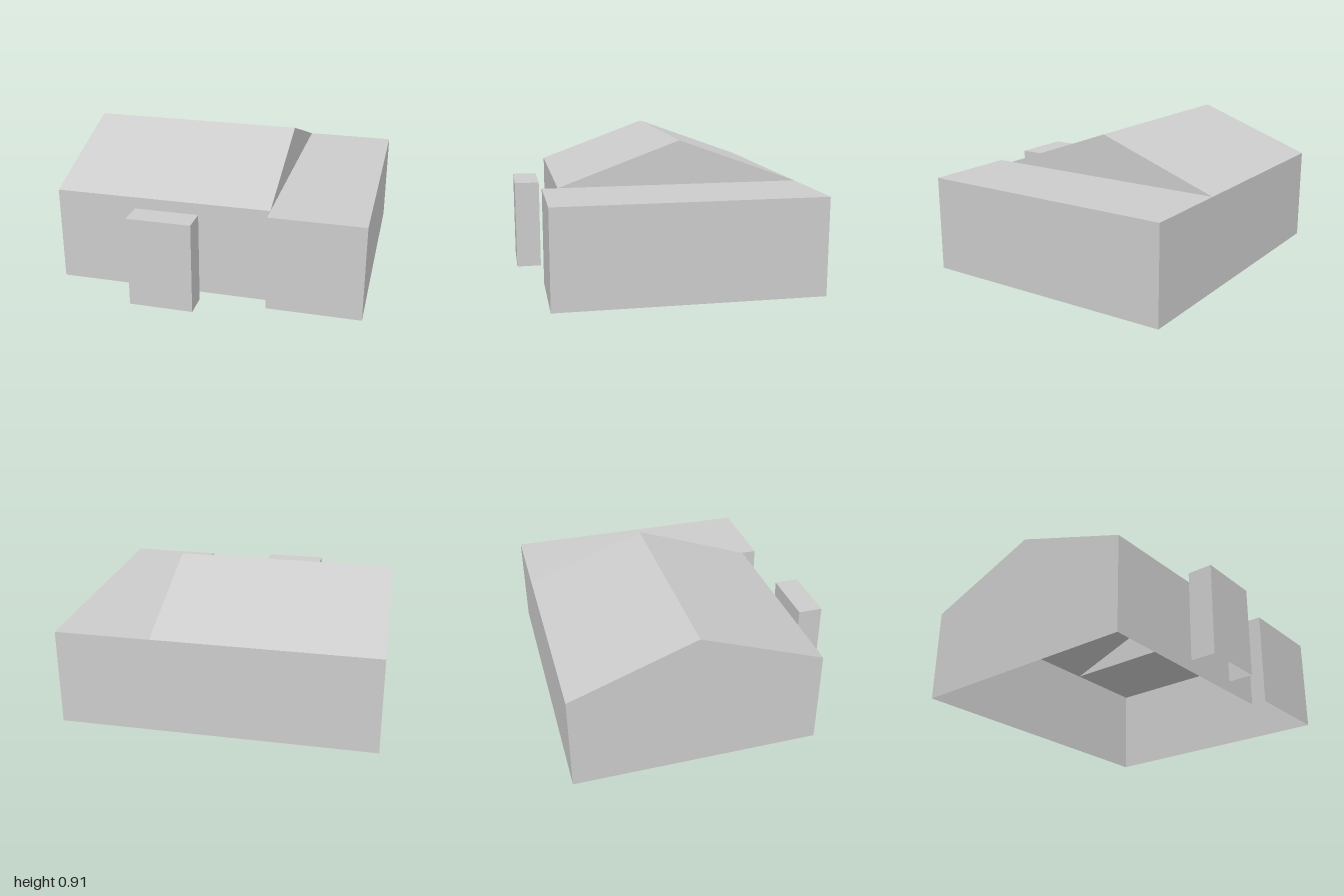
import * as THREE from 'three';

// Open-bottomed building shell made of thin flat faces
const EAVE = 0.62, RIDGE = 0.907, RIDGE_Z = -0.13;
const LEFT = -1, SPLIT = 0.4, RIGHT = 1, BACK = -0.92, FRONT = 0.66, WING_FRONT = 0.76;

// Flat-shaded mesh from convex faces, corners counterclockwise seen from outside
function shell(name, material, faces) {
  const positions = [];
  for (const face of faces) {
    for (let i = 1; i < face.length - 1; i++) {
      positions.push(...face[0], ...face[i], ...face[i + 1]);
    }
  }
  const geometry = new THREE.BufferGeometry();
  geometry.setAttribute('position', new THREE.Float32BufferAttribute(positions, 3));
  geometry.computeVertexNormals();
  const mesh = new THREE.Mesh(geometry, material);
  mesh.name = name;
  return mesh;
}

// Upright faces along a closed footprint of [x, z] corners
function wallsAround(footprint, height) {
  return footprint.map(([x, z], i) => {
    const [x2, z2] = footprint[(i + 1) % footprint.length];
    return [[x, 0, z], [x2, 0, z2], [x2, height, z2], [x, height, z]];
  });
}

// Level face over a rectangle
function flatTop(x1, x2, z1, z2, y) {
  return [[x1, y, z2], [x2, y, z2], [x2, y, z1], [x1, y, z1]];
}

export function createModel() {
  const group = new THREE.Group();
  group.name = 'building';
  const grey = new THREE.MeshStandardMaterial({ color: 0xcccccc, side: THREE.DoubleSide });
  grey.name = 'light grey';

  // Outer walls around the main block and wing, with no partition between them
  const footprint = [
    [LEFT, FRONT], [SPLIT, FRONT], [SPLIT, WING_FRONT],
    [RIGHT, WING_FRONT], [RIGHT, BACK], [LEFT, BACK],
  ];
  group.add(shell('walls', grey, wallsAround(footprint, EAVE)));

  // Gable ends above the eaves
  group.add(shell('gables', grey, [
    [[SPLIT, EAVE, FRONT], [SPLIT, EAVE, BACK], [SPLIT, RIDGE, RIDGE_Z]],
    [[LEFT, EAVE, BACK], [LEFT, EAVE, FRONT], [LEFT, RIDGE, RIDGE_Z]],
  ]));

  // Pitched roof
  group.add(shell('pitchedRoof', grey, [
    [[LEFT, EAVE, FRONT], [SPLIT, EAVE, FRONT], [SPLIT, RIDGE, RIDGE_Z], [LEFT, RIDGE, RIDGE_Z]],
    [[SPLIT, EAVE, BACK], [LEFT, EAVE, BACK], [LEFT, RIDGE, RIDGE_Z], [SPLIT, RIDGE, RIDGE_Z]],
  ]));

  // Flat roof of the wing
  group.add(shell('wingRoof', grey, [flatTop(SPLIT, RIGHT, BACK, WING_FRONT, EAVE)]));

  // Free-standing porch block in front, open underneath
  const [x1, x2, z1, z2, top] = [-0.44, -0.03, 0.755, 0.917, 0.587];
  group.add(shell('porch', grey, [
    ...wallsAround([[x1, z2], [x2, z2], [x2, z1], [x1, z1]], top),
    flatTop(x1, x2, z1, z2, top),
  ]));

  return group;
}
